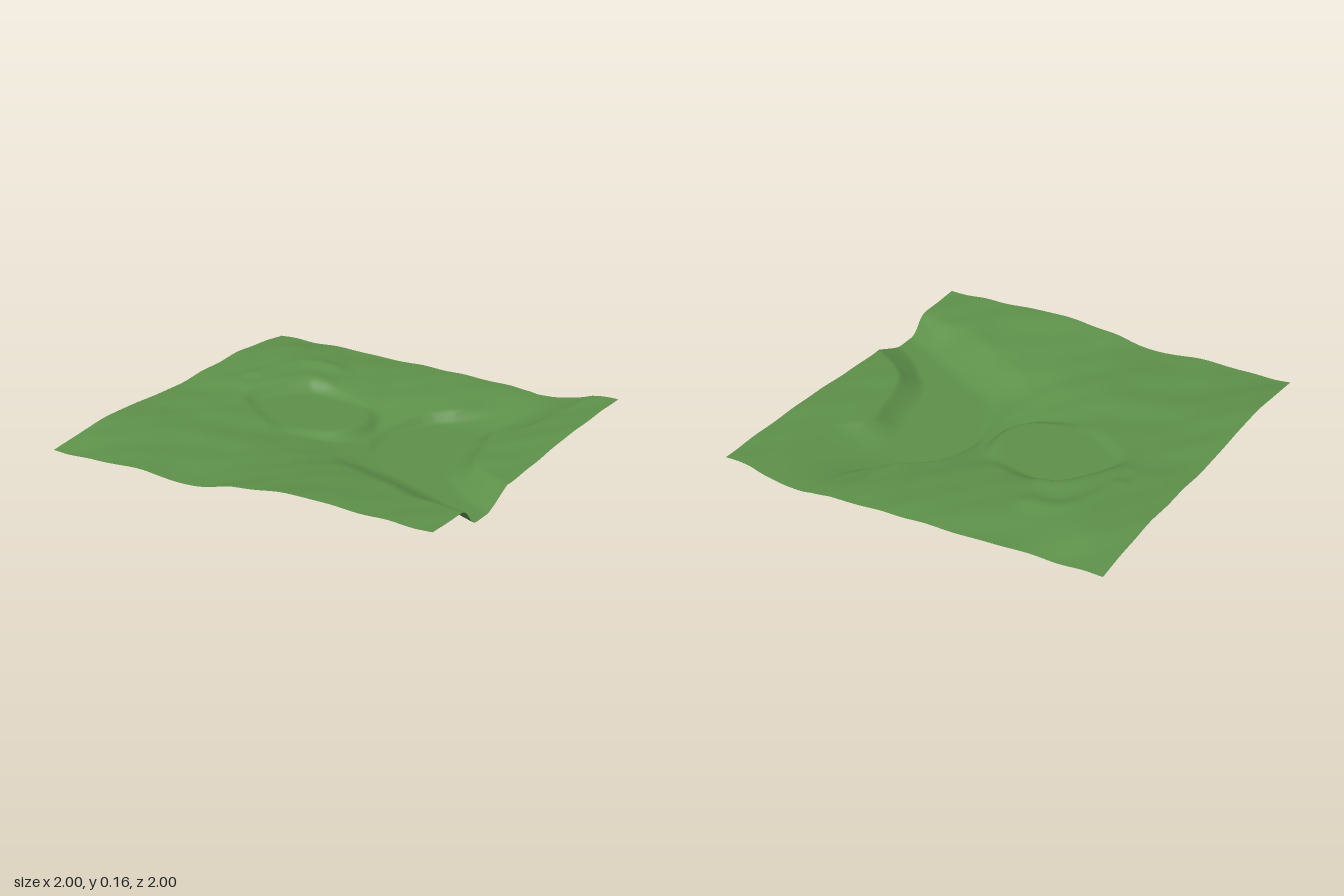
import * as THREE from 'three';

// Broad landform heights: rows run z = -1..1, columns x = -1..1, step 0.25
const LAND = [
  [.135, .13, .12, .11, .10, .085, .075, .09, .105],
  [.155, .16, .135, .115, .10, .08, .065, .085, .105],
  [.155, .15, .13, .105, .078, .05, .055, .08, .10],
  [.145, .135, .108, .077, .045, .02, .045, .078, .095],
  [.13, .12, .095, .065, .023, .02, .045, .073, .08],
  [.135, .115, .09, .068, .045, .04, .055, .073, .072],
  [.143, .115, .095, .085, .075, .08, .085, .085, .077],
  [.125, .105, .09, .08, .085, .105, .105, .10, .09],
  [.095, .09, .095, .069, .105, .127, .125, .108, .10],
];

const clamp = THREE.MathUtils.clamp;
const lerp = THREE.MathUtils.lerp;
const smooth = THREE.MathUtils.smoothstep;

function cubic(a, b, c, d, t) {
  return b + 0.5 * t * (c - a + t * (2 * a - 5 * b + 4 * c - d + t * (3 * (b - c) + d - a)));
}

function sampleRow(get, u) {
  const i = clamp(Math.floor(u), 0, 7);
  const at = (k) => get(clamp(k, 0, 8));
  return cubic(at(i - 1), at(i), at(i + 1), at(i + 2), u - i);
}

function landHeight(x, z) {
  const u = (x + 1) * 4, v = (z + 1) * 4;
  return sampleRow((r) => sampleRow((c) => LAND[r][c], u), v);
}

function curve(points, count) {
  return new THREE.SplineCurve(points.map(([x, z]) => new THREE.Vector2(x, z))).getPoints(count);
}

function distanceTo(path, x, z) {
  let best = Infinity;
  for (let i = 0; i < path.length - 1; i++) {
    const a = path[i], b = path[i + 1];
    const dx = b.x - a.x, dz = b.y - a.y;
    const t = clamp(((x - a.x) * dx + (z - a.y) * dz) / (dx * dx + dz * dz), 0, 1);
    best = Math.min(best, Math.hypot(x - a.x - t * dx, z - a.y - t * dz));
  }
  return best;
}

function inside(poly, x, z) {
  let hit = false;
  for (let i = 0, j = poly.length - 1; i < poly.length; j = i++) {
    const a = poly[i], b = poly[j];
    if ((a.y > z) !== (b.y > z) && x < a.x + ((z - a.y) / (b.y - a.y)) * (b.x - a.x)) hit = !hit;
  }
  return hit;
}

// Lake and channel shores
const westShore = curve([
  [.57, -1.15], [.565, -.85], [.49, -.67], [.36, -.54], [.23, -.43], [.17, -.28], [.15, -.13],
  [.19, .02], [.27, .15], [.37, .23], [.52, .3], [.7, .4], [.84, .49], [1, .58], [1.15, .65]], 44);
const eastShore = curve([
  [1.15, .55], [1, .48], [.87, .4], [.74, .28], [.64, .15], [.59, .02], [.55, -.14], [.5, -.34],
  [.53, -.5], [.6, -.78], [.65, -1.15]], 34);
const basin = [...westShore, ...eastShore];

// Outline of the level terrace
const terrace = curve([
  [-.42, -.37], [-.3, -.37], [-.12, -.32], [-.02, -.22], [.005, -.08], [-.05, .03], [-.16, .08],
  [-.3, .09], [-.43, .02], [-.55, -.07], [-.58, -.14], [-.5, -.27], [-.42, -.37]], 40);

// Embankments on the uphill side of the terrace
const banks = [
  { path: curve([[-.68, -.19], [-.58, -.34], [-.49, -.45], [-.4, -.46]], 12), rise: .01, width: .06 },
  { path: curve([[-.73, -.34], [-.69, -.47], [-.62, -.6], [-.54, -.65], [-.44, -.65]], 12), rise: .014, width: .06 },
];

function heightAt(x, z) {
  let h = landHeight(x, z);

  // gentle diagonal undulation
  h += .002 * Math.sin(9 * x + 13 * z + 2 * Math.sin(4 * x - 3 * z))
     + .0015 * Math.sin(17 * x + 21 * z + 1.5 * Math.sin(7 * x))
     + .001 * Math.sin(24 * x - 11 * z);

  for (const b of banks) h += b.rise * Math.exp(-((distanceTo(b.path, x, z) / b.width) ** 2));

  // terrace, level apart from a slight rise at its west end
  const level = .068 + .07 * Math.max(0, -.3 - x);
  const off = inside(terrace, x, z) ? 0 : distanceTo(terrace, x, z);
  h = lerp(level, h, smooth(off, 0, .08));

  // flat lake bed, climbing upstream towards the back
  const floor = .055 * smooth(-z, .45, .97);
  if (inside(basin, x, z)) return floor;

  // the south bank is broad and narrows at the outlet; the east bank ends in a crisp lip
  const westWidth = lerp(.06, lerp(.26, .13, smooth(x, .6, 1)), smooth(z, 0, .3));
  const eastWidth = lerp(lerp(.12, .17, smooth(x, .75, 1)), .22, smooth(-z, .25, .5));
  const west = smooth(distanceTo(westShore, x, z), 0, westWidth);
  const east = Math.min(1, distanceTo(eastShore, x, z) / eastWidth) ** 1.3;
  return floor + Math.max(h - floor, .004) * west * east;
}

export function createModel() {
  const group = new THREE.Group();
  group.name = 'landscape';
  const grass = new THREE.MeshStandardMaterial({ color: 0x5e914a, side: THREE.DoubleSide });
  grass.name = 'grass green';

  // Terrain sheet
  const geometry = new THREE.PlaneGeometry(2, 2, 160, 160).rotateX(-Math.PI / 2);
  const p = geometry.attributes.position;
  for (let i = 0; i < p.count; i++) p.setY(i, heightAt(p.getX(i), p.getZ(i)));
  geometry.computeVertexNormals();

  const terrain = new THREE.Mesh(geometry, grass);
  terrain.name = 'terrain';
  group.add(terrain);
  return group;
}
